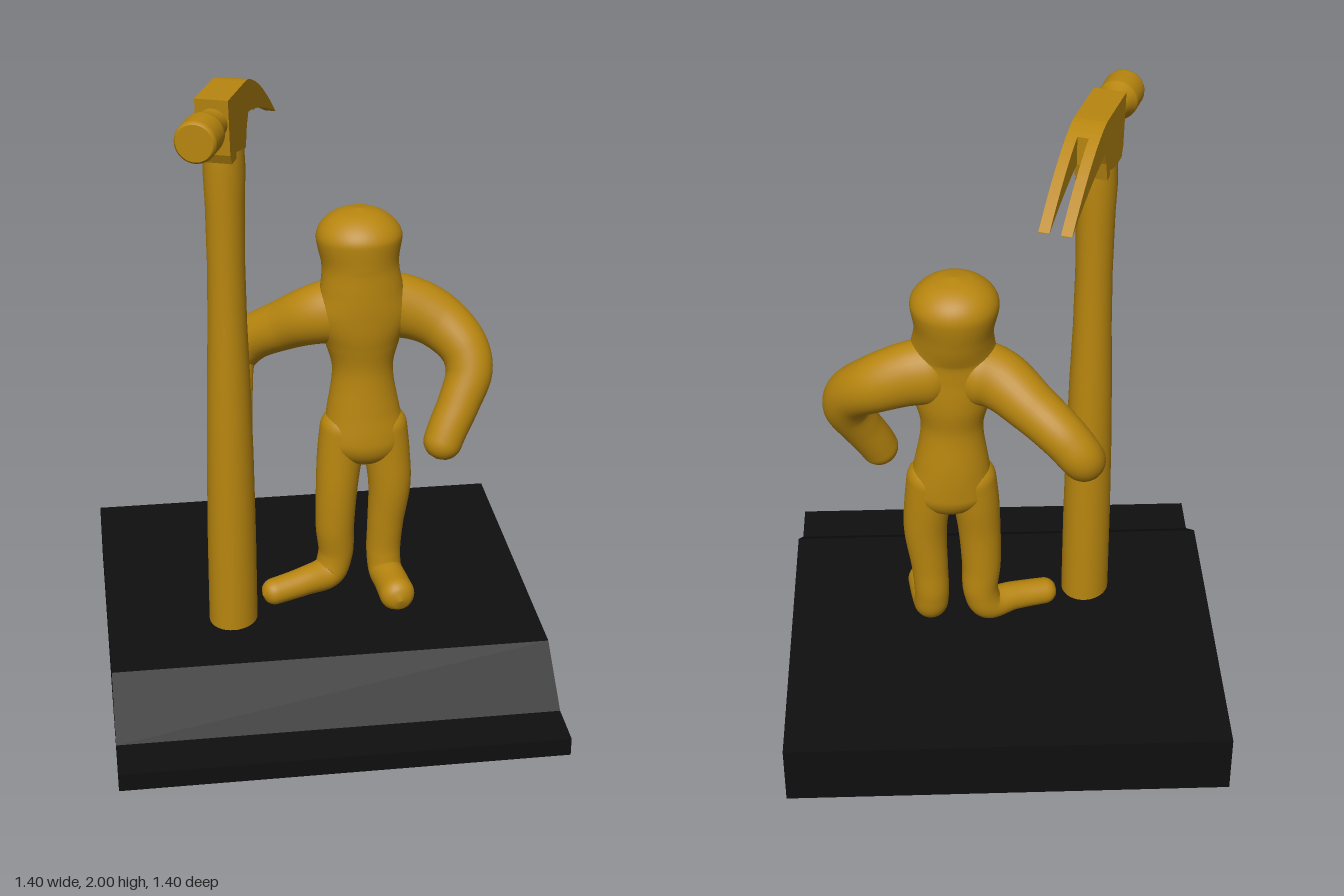
import * as THREE from 'three';
import { mergeVertices } from 'three/addons/utils/BufferGeometryUtils.js';

const gold = new THREE.MeshStandardMaterial({ color: 0xb8860f });
const black = new THREE.MeshStandardMaterial({ color: 0x0f0f0f });
const GROUND = 0.2;

function add(parent, name, geometry, material = gold) {
  const mesh = new THREE.Mesh(geometry, material);
  mesh.name = name;
  parent.add(mesh);
  return mesh;
}

// Rounded body part along a smooth path; each row is x, y, z, radius, depth scale
function softTube(rows, capScale = 0.95, steps = 100, sides = 32) {
  const path = new THREE.CatmullRomCurve3(rows.map(r => new THREE.Vector3(r[0], r[1], r[2])));
  const size = new THREE.CatmullRomCurve3(
    rows.map(r => new THREE.Vector3(r[3], r[4] ?? 1, 0)), false, 'catmullrom', 0.5);
  const geo = new THREE.TubeGeometry(path, steps, 1, sides);
  const length = path.getLength();
  const pos = geo.attributes.position;
  const v = new THREE.Vector3();
  for (let i = 0; i <= steps; i++) {
    const u = i / steps;
    const centre = path.getPointAt(u);
    const s = size.getPoint(path.getUtoTmapping(u));
    // Round off both ends
    const end = Math.min(1, Math.min(u, 1 - u) * length / (s.x * capScale));
    const radius = Math.max(1e-4, s.x * Math.sqrt(1 - (1 - end) ** 2));
    for (let j = 0; j <= sides; j++) {
      const k = i * (sides + 1) + j;
      v.fromBufferAttribute(pos, k).sub(centre).multiplyScalar(radius);
      v.z *= s.y;
      v.add(centre);
      pos.setXYZ(k, v.x, Math.max(v.y, GROUND), v.z);
    }
  }
  geo.deleteAttribute('uv');
  geo.deleteAttribute('normal');
  const smooth = mergeVertices(geo, 1e-5);
  smooth.computeVertexNormals();
  return smooth;
}

// Side profile in (length, height), extruded across the width
function slab(points, width, offset = 0) {
  const shape = new THREE.Shape(points.map(p => new THREE.Vector2(p[0], p[1])));
  const geo = new THREE.ExtrudeGeometry(shape, { depth: width, bevelEnabled: false });
  geo.translate(0, 0, offset - width / 2);
  geo.rotateY(-Math.PI / 2);
  return geo;
}

function lathe(points, sides = 40) {
  return new THREE.LatheGeometry(points.map(p => new THREE.Vector2(p[0], p[1])), sides);
}

function buildFigure() {
  const figure = new THREE.Group();
  figure.name = 'figure';
  add(figure, 'torsoAndHead', softTube([
    [0.16, 0.66, -0.08, 0.13, 0.72],
    [0.162, 0.75, -0.08, 0.138, 0.7],
    [0.158, 0.85, -0.085, 0.12, 0.78],
    [0.155, 1.0, -0.085, 0.098, 0.87],
    [0.153, 1.1, -0.085, 0.12, 0.82],
    [0.15, 1.2, -0.078, 0.15, 0.7],
    [0.148, 1.28, -0.078, 0.133, 0.82],
    [0.145, 1.36, -0.09, 0.122, 1],
    [0.142, 1.45, -0.098, 0.136, 0.98],
    [0.142, 1.54, -0.1, 0.13, 1],
  ], 0.7, 120, 40));
  add(figure, 'leftArm', softTube([
    [0.14, 1.21, -0.09, 0.12, 0.85],
    [0.28, 1.2, -0.1, 0.105, 0.85],
    [0.39, 1.155, -0.085, 0.092, 0.95],
    [0.47, 1.08, -0.03, 0.08],
    [0.485, 1.01, 0.005, 0.075],
    [0.45, 0.92, 0.04, 0.068],
    [0.405, 0.83, 0.07, 0.064],
    [0.37, 0.745, 0.095, 0.06],
  ]));
  add(figure, 'rightArm', softTube([
    [0.16, 1.21, -0.09, 0.12, 0.85],
    [0.02, 1.185, -0.11, 0.1, 0.9],
    [-0.09, 1.12, -0.18, 0.082],
    [-0.19, 1.045, -0.245, 0.074],
    [-0.24, 0.98, -0.255, 0.07],
    [-0.255, 0.91, -0.17, 0.064],
    [-0.265, 0.84, -0.07, 0.062],
    [-0.27, 0.79, 0.01, 0.058],
  ]));
  add(figure, 'rightLeg', softTube([
    [0.105, 0.86, -0.085, 0.08],
    [0.083, 0.7, -0.08, 0.075],
    [0.072, 0.58, -0.073, 0.069],
    [0.066, 0.43, -0.073, 0.064],
    [0.069, 0.32, -0.078, 0.058],
    [0.045, 0.257, -0.07, 0.056],
    [-0.04, 0.247, -0.03, 0.048],
    [-0.187, 0.233, 0.018, 0.043],
  ]));
  add(figure, 'leftLeg', softTube([
    [0.215, 0.86, -0.085, 0.08],
    [0.237, 0.7, -0.078, 0.075],
    [0.247, 0.58, -0.073, 0.07],
    [0.236, 0.43, -0.076, 0.06],
    [0.231, 0.32, -0.077, 0.057],
    [0.235, 0.257, -0.06, 0.056],
    [0.245, 0.245, 0.0, 0.056],
    [0.258, 0.24, 0.13, 0.06],
  ]));
  return figure;
}

function buildHammer() {
  const hammer = new THREE.Group();
  hammer.name = 'hammer';

  // Oval handle, swelling towards the ground
  const handle = lathe([
    [0.078, 0.2], [0.077, 0.5], [0.073, 0.8], [0.067, 1.05],
    [0.06, 1.25], [0.057, 1.45], [0.059, 1.65], [0.063, 1.75], [0.06, 1.82],
  ]);
  add(hammer, 'handle', handle.scale(1, 1, 1.13));

  // Curved claw: upper and lower edges as functions of length
  const bend = l => Math.max(0, (-l - 0.08) / 0.34) ** 1.5;
  const upper = l => [l, 2 - 0.2 * bend(l)];
  const lower = l => [l, 1.9 - 0.102 * bend(l)];
  const SPLIT = -0.16, TIP = -0.42, WIDTH = 0.1;
  const span = (a, b, n, f) => Array.from({ length: n + 1 }, (_, i) => f(a + (b - a) * i / n));

  add(hammer, 'headBlock', slab([
    [-0.066, 1.8], [0.09, 1.8], [0.105, 1.83], [0.12, 2.0],
    ...span(-0.07, SPLIT, 5, upper),
    ...span(SPLIT, -0.1, 4, lower),
    [-0.08, 1.86],
  ], WIDTH));
  for (const side of [-1, 1]) {
    add(hammer, side < 0 ? 'clawTineA' : 'clawTineB', slab([
      ...span(TIP, SPLIT, 12, lower),
      ...span(SPLIT, TIP, 12, upper),
    ], 0.033, side * 0.0335));
  }

  // Striking face with a narrow neck
  const poll = lathe([
    [0.048, 0.1], [0.044, 0.125], [0.045, 0.165], [0.062, 0.2], [0.063, 0.21],
    [0.063, 0.282], [0.061, 0.291], [0.055, 0.297], [0.055, 0.297], [0, 0.297],
  ]);
  add(hammer, 'strikingFace', poll.rotateX(Math.PI / 2).translate(0, 1.928, 0));

  hammer.position.set(-0.29, 0, 0.08);
  hammer.rotation.y = -0.36;
  return hammer;
}

export function createModel() {
  const model = new THREE.Group();
  model.name = 'figureWithHammer';
  // Plinth with a sloping front step
  add(model, 'base', slab([
    [-0.7, 0], [0.7, 0], [0.7, 0.06], [0.55, 0.06], [0.36, GROUND], [-0.7, GROUND],
  ], 1.4), black);
  model.add(buildFigure(), buildHammer());
  return model;
}
